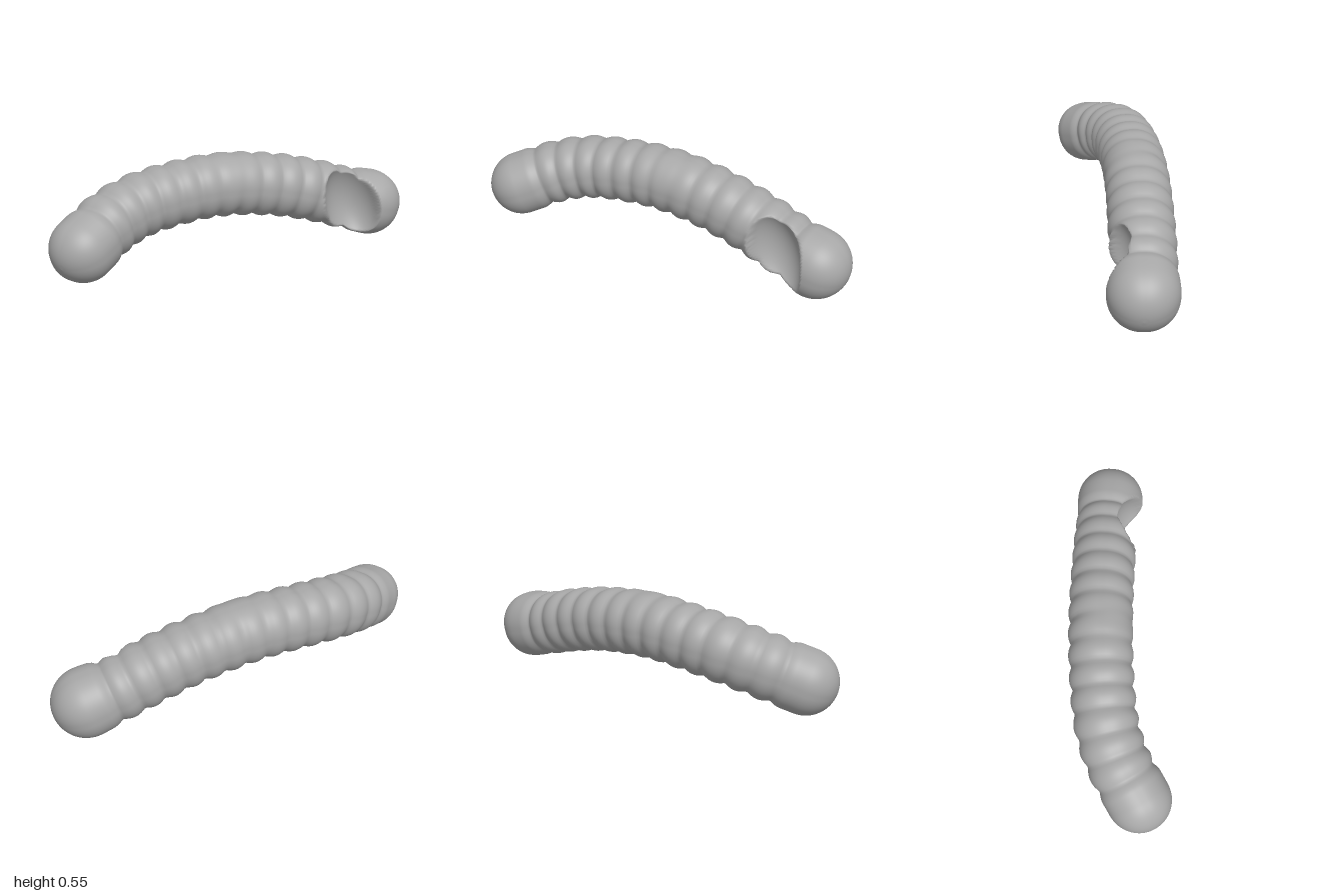
import * as THREE from 'three';

const RINGS = 260, SIDES = 72;

// Spine between the centres of the two rounded ends
const spine = new THREE.CatmullRomCurve3([
  [-0.835, 0.24, 0.14], [-0.66, 0.315, 0.02], [-0.5, 0.358, -0.045], [-0.3, 0.383, -0.083],
  [-0.1, 0.393, -0.107], [0.1, 0.378, -0.122], [0.3, 0.342, -0.13], [0.5, 0.285, -0.135],
  [0.68, 0.222, -0.134], [0.82, 0.182, -0.132],
].map((p) => new THREE.Vector3(...p)));
spine.arcLengthDivisions = 600;

const length = spine.getLength();
const FIRST = 0.13, SEGMENTS = 13;

function baseRadius(u) {
  return THREE.MathUtils.lerp(0.166, 0.17, u) + 0.008 * THREE.MathUtils.smoothstep(u, 0.92, 1);
}

// Rounded body segments with narrow grooves; 1 at a crest, 0 in a groove
function segmentBump(s) {
  const phase = ((s - FIRST) / (length - 2 * FIRST)) * SEGMENTS;
  return Math.abs(Math.sin(Math.PI * THREE.MathUtils.clamp(phase, -0.5, SEGMENTS + 0.5)));
}

// Scooped hollow in the front of the body, near the left end
function carve(p) {
  const dx = (p.x - 0.66) / 0.155;
  const dy = (p.y - (0.24 - 0.4 * (p.x - 0.66))) / 0.235;
  const d = 1 - dx * dx - dy * dy;
  if (d > 0) p.z = Math.min(p.z, 0.05 - 0.16 * Math.sqrt(d));
}

function bodyGeometry() {
  const positions = [], indices = [];
  const up = new THREE.Vector3(), side = new THREE.Vector3(), p = new THREE.Vector3();
  const r0 = baseRadius(0), r1 = baseRadius(1);
  for (let i = 0; i <= RINGS; i++) {
    // Rings bunch up toward the tips so the caps stay round
    const k = i / RINGS;
    const ease = k - (0.8 * Math.sin(2 * Math.PI * k)) / (2 * Math.PI);
    const s = -r0 + ease * (length + r0 + r1);
    const u = THREE.MathUtils.clamp(s / length, 0, 1);
    const tangent = spine.getTangentAt(u);
    const over = s < 0 ? s : Math.max(0, s - length);
    const centre = spine.getPointAt(u).addScaledVector(tangent, over);
    const base = baseRadius(u);
    const cap = Math.sqrt(Math.max(0, 1 - (over / base) ** 2));
    side.crossVectors(tangent, new THREE.Vector3(0, 1, 0)).normalize();
    up.crossVectors(side, tangent).normalize();
    for (let j = 0; j < SIDES; j++) {
      const a = (j / SIDES) * Math.PI * 2;
      // Smooth saddle on the upper front of the middle
      const saddle = Math.exp(-((centre.x / 0.1) ** 2)) * Math.max(0, Math.cos(a - 0.7));
      const groove = 0.017 * (1 - segmentBump(s)) * (1 - saddle);
      const lobes = 0.985 + 0.028 * Math.abs(Math.sin(2 * a));
      const r = (base - groove) * cap * lobes;
      p.copy(centre).addScaledVector(up, r * Math.cos(a)).addScaledVector(side, r * Math.sin(a));
      carve(p);
      positions.push(p.x, p.y, p.z);
      if (i < RINGS) {
        const n = (j + 1) % SIDES, q = i * SIDES, w = q + SIDES;
        indices.push(q + j, q + n, w + j, q + n, w + n, w + j);
      }
    }
  }
  const geometry = new THREE.BufferGeometry();
  geometry.setAttribute('position', new THREE.Float32BufferAttribute(positions, 3));
  geometry.setIndex(indices);
  geometry.computeVertexNormals();
  // Stand on the ground, centred
  geometry.computeBoundingBox();
  const { min, max } = geometry.boundingBox;
  geometry.translate(-(min.x + max.x) / 2, -min.y, -(min.z + max.z) / 2);
  return geometry;
}

export function createModel() {
  const group = new THREE.Group();
  group.name = 'segmentedWorm';
  const skin = new THREE.MeshStandardMaterial({ color: 0xa8a8a8 });
  skin.name = 'greySkin';
  const body = new THREE.Mesh(bodyGeometry(), skin);
  body.name = 'body';
  group.add(body);
  return group;
}
